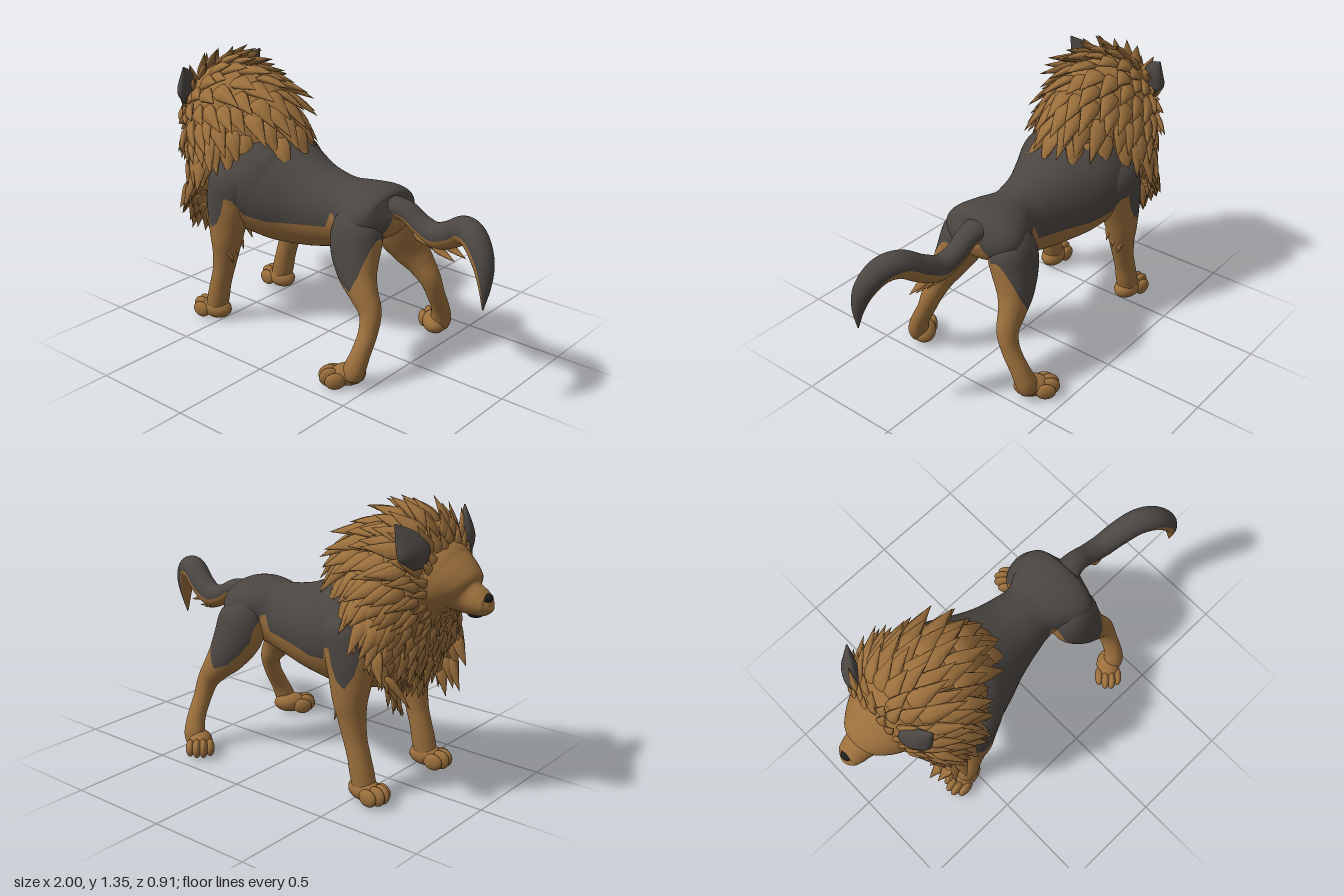
import * as THREE from 'three';
import { mergeGeometries } from 'three/addons/utils/BufferGeometryUtils.js';

const V = (x, y, z) => new THREE.Vector3(x, y, z);
const mat = (name, color) => new THREE.MeshStandardMaterial({ name, color });

// Skin over elliptical sections [x, y, z, radius in the xy plane, radius across].
// isDark(point, cosAngle) sends faces to the second material group, split cleanly along the border.
function loft(sections, steps, sides, isDark = () => false) {
  const path = new THREE.CatmullRomCurve3(sections.map(s => V(s[0], s[1], s[2])), false, 'catmullrom');
  const radii = new THREE.CatmullRomCurve3(sections.map(s => V(s[3], s[4], 0)), false, 'catmullrom');
  const pts = [], cosines = [], light = [], dark = [], cuts = new Map();
  for (let i = 0; i <= steps; i++) {
    const c = path.getPoint(i / steps), r = radii.getPoint(i / steps), T = path.getTangent(i / steps);
    const S = V(0, 0, 1).addScaledVector(T, -T.z).normalize(), U = S.clone().cross(T);
    for (let j = 0; j < sides; j++) {
      const a = j / sides * Math.PI * 2;
      cosines.push(Math.cos(a));
      pts.push(c.clone().addScaledVector(U, Math.max(r.x, 0) * Math.cos(a)).addScaledVector(S, Math.max(r.y, 0) * Math.sin(a)));
    }
  }
  const first = pts.push(path.getPoint(0)) - 1, last = pts.push(path.getPoint(1)) - 1;
  cosines.push(0, 0);
  const flag = pts.map((p, i) => isDark(p, cosines[i]));
  const cut = (m, n) => {
    const a = Math.min(m, n), b = Math.max(m, n), key = a + '_' + b;
    if (!cuts.has(key)) {
      let lo = 0, hi = 1;
      for (let i = 0; i < 8; i++) {
        const t = (lo + hi) / 2, same = isDark(pts[a].clone().lerp(pts[b], t), cosines[a] + (cosines[b] - cosines[a]) * t) === flag[a];
        if (same) lo = t; else hi = t;
      }
      cuts.set(key, pts.push(pts[a].clone().lerp(pts[b], lo)) - 1);
    }
    return cuts.get(key);
  };
  const face = (a, b, c) => {
    if (flag[a] === flag[b] && flag[b] === flag[c]) return (flag[a] ? dark : light).push(a, b, c);
    while (flag[a] === flag[b] || flag[a] === flag[c]) [a, b, c] = [b, c, a];
    const ab = cut(a, b), ac = cut(a, c);
    (flag[a] ? dark : light).push(a, ab, ac);
    return (flag[a] ? light : dark).push(ab, b, c, ab, c, ac);
  };
  for (let j = 0; j < sides; j++) {
    const k = (j + 1) % sides, e = steps * sides;
    for (let i = 0; i < steps; i++) {
      const o = i * sides, n = o + sides;
      face(o + j, o + k, n + j);
      face(o + k, n + k, n + j);
    }
    face(first, k, j);
    face(last, e + j, e + k);
  }
  const g = new THREE.BufferGeometry().setFromPoints(pts);
  g.setIndex([...light, ...dark]);
  if (dark.length) {
    g.addGroup(0, light.length, 0);
    g.addGroup(light.length, dark.length, 1);
  }
  g.computeVertexNormals();
  return g;
}

// Lower border of the dark saddle, as x, y points
const BORDER = [[-0.7, 0.76], [-0.55, 0.73], [-0.52, 0.6], [-0.48, 0.53], [-0.44, 0.56], [-0.41, 0.62], [-0.39, 0.7],
  [-0.35, 0.69], [-0.32, 0.62], [-0.2, 0.6], [0, 0.62], [0.1, 0.63], [0.13, 0.71], [0.155, 0.7], [0.18, 0.57],
  [0.22, 0.51], [0.28, 0.45], [0.35, 0.42], [0.385, 0.5], [0.41, 0.65], [0.45, 0.76]];
function saddle(p) {
  let i = 1;
  while (i < BORDER.length - 1 && BORDER[i][0] < p.x) i++;
  const [x0, y0] = BORDER[i - 1], [x1, y1] = BORDER[i];
  if (p.y < y0 + (y1 - y0) * (p.x - x0) / (x1 - x0)) return false;
  const z = Math.abs(p.z);
  if (p.x > 0.18 && p.y < 0.74) return z > 0.05 + (0.74 - p.y) * 0.6;
  return p.x > -0.34 || p.y > 0.62 || z > 0.22;
}

// Mane surface: t runs from the face to the rear edge, a runs round from the top.
// The third number of the top curve is the half width.
const curve = list => new THREE.CatmullRomCurve3(list.map(p => V(...p)), false, 'catmullrom');
const maneTop = curve([[-0.82, 1.12, 0.15], [-0.745, 1.235, 0.21], [-0.6, 1.265, 0.255], [-0.41, 1.21, 0.28], [-0.26, 1.09, 0.295], [-0.18, 0.96, 0.295]]);
const maneLow = curve([[-0.79, 0.87, 0], [-0.73, 0.77, 0], [-0.685, 0.67, 0], [-0.64, 0.59, 0], [-0.595, 0.53, 0], [-0.56, 0.48, 0]]);
function manePoint(t, a) {
  const A = maneTop.getPoint(t), B = maneLow.getPoint(t), s = Math.sin(a), c = Math.cos(a);
  return V((A.x + B.x) / 2 + (A.x - B.x) / 2 * c - 0.25 * t * t * Math.abs(s) ** 1.4,
    (A.y + B.y) / 2 + (A.y - B.y) / 2 * c, A.z * s * (1 - 0.08 * c));
}

// One pointed lock of hair along +x, unit long, raised towards +y
const lock = loft([[0, -0.08, 0, 0.06, 0.36], [0.25, 0.02, 0, 0.13, 0.48], [0.6, 0.06, 0, 0.09, 0.27], [1, 0.07, 0, 0.003, 0.006]], 6, 6);
function placeLock(root, dir, out, length, width) {
  const x = dir.clone().normalize(), z = x.clone().cross(out).normalize(), y = z.clone().cross(x);
  const m = new THREE.Matrix4().makeBasis(x.multiplyScalar(length), y.multiplyScalar(length * 0.8), z.multiplyScalar(width)).setPosition(root);
  return lock.clone().applyMatrix4(m);
}

export function createModel() {
  const model = new THREE.Group();
  const tan = mat('tan fur', 0x9b6f3c), dark = mat('charcoal fur', 0x4b4642), black = mat('black skin', 0x1e1c1c);
  const coat = [tan, dark];
  const add = (name, geo, material, parent = model) => {
    const m = new THREE.Mesh(geo, material);
    m.name = name;
    parent.add(m);
    return m;
  };
  const ball = (name, material, pos, size, parent) => {
    const m = add(name, new THREE.SphereGeometry(1, 16, 12), material, parent);
    m.position.set(...pos);
    m.scale.set(...size);
  };

  // Trunk
  add('body', loft([[-0.68, 0.72, 0, 0.08, 0.08], [-0.62, 0.72, 0, 0.18, 0.17], [-0.5, 0.72, 0, 0.255, 0.265],
    [-0.38, 0.72, 0, 0.275, 0.3], [-0.25, 0.685, 0, 0.255, 0.26], [-0.1, 0.665, 0, 0.22, 0.2], [0.03, 0.665, 0, 0.187, 0.165],
    [0.14, 0.675, 0, 0.165, 0.15], [0.24, 0.7, 0, 0.143, 0.195], [0.32, 0.715, 0, 0.125, 0.21], [0.38, 0.715, 0, 0.095, 0.165],
    [0.42, 0.72, 0, 0.03, 0.06]], 120, 80, saddle), coat);
  ball('bellyFold', tan, [0.09, 0.525, 0], [0.07, 0.04, 0.035]);

  // Head and muzzle
  add('head', loft([[-0.6, 1.02, 0, 0.12, 0.14], [-0.72, 1.02, 0, 0.17, 0.185], [-0.8, 1, 0, 0.143, 0.165], [-0.85, 0.982, 0, 0.114, 0.13],
    [-0.89, 0.957, 0, 0.077, 0.082], [-0.95, 0.94, 0, 0.058, 0.064], [-0.982, 0.938, 0, 0.043, 0.049],
    [-0.993, 0.942, 0, 0.015, 0.018]], 48, 40), tan);
  ball('nose', black, [-0.98, 0.965, 0], [0.02, 0.019, 0.027]);
  ball('lowerLip', black, [-0.925, 0.888, 0], [0.035, 0.016, 0.038]);

  // Tail with hanging hair
  add('tail', loft([[0.36, 0.76, 0, 0.05, 0.07], [0.45, 0.75, -0.01, 0.047, 0.055], [0.53, 0.705, -0.01, 0.05, 0.052], [0.62, 0.682, 0, 0.06, 0.055],
    [0.71, 0.718, 0.02, 0.062, 0.06], [0.8, 0.772, 0.055, 0.062, 0.062], [0.88, 0.762, 0.095, 0.058, 0.06], [0.945, 0.69, 0.13, 0.048, 0.05],
    [0.972, 0.6, 0.15, 0.028, 0.032], [0.975, 0.49, 0.16, 0.003, 0.003]], 80, 40, (p, cos) => cos > -0.15), coat);
  const hang = [[0.47, 0.7, -0.02], [0.52, 0.67, 0.02], [0.57, 0.645, 0], [0.62, 0.64, 0.02], [0.67, 0.665, 0.01]];
  add('tailHair', mergeGeometries(hang.map(p => placeLock(V(...p), V(1, -0.28, 0.08), V(0, -1, 0), 0.13, 0.06))), tan);

  // Mane: a smooth underlayer covered with overlapping locks
  const rows = 24, cols = 48, pos = [], idx = [];
  for (let i = 0; i <= rows; i++) for (let j = 0; j < cols; j++) {
    pos.push(manePoint(i / rows, j / cols * Math.PI * 2));
    const k = (j + 1) % cols, o = i * cols;
    if (i < rows) idx.push(o + j, o + k, o + cols + j, o + k, o + cols + k, o + cols + j);
  }
  const under = new THREE.BufferGeometry().setFromPoints(pos);
  under.setIndex(idx);
  under.computeVertexNormals();
  const underFur = tan.clone();
  underFur.name = 'tan underfur';
  underFur.side = THREE.DoubleSide;
  add('maneUnderlayer', under, underFur);
  const locks = [], ROWS = 11, COLS = 22;
  let seed = 7;
  const rand = () => (seed = seed * 16807 % 2147483647) / 2147483647;
  for (let i = 0; i < ROWS; i++) for (let j = 0; j < COLS; j++) {
    const a = (j + (i % 2) / 2 + (rand() - 0.5) * 0.4) / COLS * Math.PI * 2;
    const t = Math.min(0.97, 0.02 + i / ROWS * 0.97 + rand() * 0.06), e = 0.02;
    const p = manePoint(t, a);
    const dir = manePoint(Math.min(t + e, 1), a).sub(manePoint(t - e, a)).normalize();
    const out = manePoint(t, a + e).sub(manePoint(t, a - e)).cross(dir).normalize();
    const top = 0.5 + 0.5 * Math.cos(a), grow = Math.min(1, 0.45 + t * 1.6);
    dir.addScaledVector(out, 0.06 + rand() * (0.18 + 0.12 * top)).y -= 0.1 * t;
    locks.push(placeLock(p, dir, out, (0.11 + 0.06 * top + rand() * 0.06) * grow, (0.06 + 0.045 * top) * grow));
  }
  add('maneLocks', mergeGeometries(locks), tan);

  // Paw pointing to -x, with four toes
  const paw = (name, parent, x, z, turn) => {
    const g = new THREE.Group();
    g.name = name;
    g.position.set(x, 0, z);
    g.rotation.y = turn;
    parent.add(g);
    ball('pawPad', tan, [0.012, 0.052, 0], [0.085, 0.052, 0.06], g);
    [-1.5, -0.5, 0.5, 1.5].forEach(k => {
      const inner = Math.abs(k) < 1 ? 1 : 0;
      ball('toe', tan, [-0.05 - 0.022 * inner, 0.042 + 0.006 * inner, k * 0.032], [0.048, 0.04 + 0.006 * inner, 0.022], g);
    });
  };

  // Everything that comes in a left and right pair
  for (const side of [1, -1]) {
    const half = new THREE.Group();
    half.name = side > 0 ? 'leftHalf' : 'rightHalf';
    half.scale.z = side;
    model.add(half);
    add('frontLeg', loft([[-0.41, 0.87, 0.17, 0.06, 0.05], [-0.42, 0.77, 0.205, 0.135, 0.11], [-0.44, 0.66, 0.225, 0.125, 0.1],
      [-0.45, 0.56, 0.235, 0.105, 0.088], [-0.455, 0.46, 0.243, 0.083, 0.075], [-0.465, 0.38, 0.243, 0.068, 0.062],
      [-0.485, 0.28, 0.243, 0.056, 0.052], [-0.508, 0.2, 0.243, 0.053, 0.052], [-0.525, 0.13, 0.243, 0.056, 0.054],
      [-0.545, 0.05, 0.243, 0.055, 0.052]], 80, 40, saddle), coat, half);
    paw('frontPaw', half, -0.555, 0.245, 0.1);
    add('elbowHair', mergeGeometries([0.5, 0.47, 0.44].map((y, i) =>
      placeLock(V(-0.41 - i * 0.008, y, 0.24 + (i - 1) * 0.03), V(0.35, -1, 0), V(1, 0.3, 0), 0.1, 0.05))), tan, half);
    add('hindLeg', loft([[0.285, 0.77, 0.09, 0.02, 0.02], [0.28, 0.725, 0.11, 0.088, 0.08], [0.28, 0.66, 0.135, 0.125, 0.105], [0.295, 0.57, 0.163, 0.125, 0.1],
      [0.335, 0.48, 0.197, 0.1, 0.08], [0.385, 0.41, 0.218, 0.073, 0.062], [0.435, 0.335, 0.232, 0.054, 0.05], [0.449, 0.25, 0.262, 0.045, 0.043],
      [0.446, 0.16, 0.31, 0.045, 0.044], [0.434, 0.09, 0.338, 0.052, 0.048], [0.424, 0.045, 0.345, 0.045, 0.045]], 80, 40, saddle), coat, half);
    paw('hindPaw', half, 0.387, 0.348, 0.8);

    // Face details and ear
    ball('brow', tan, [-0.85, 1.055, 0.065], [0.03, 0.018, 0.042], half);
    ball('eye', black, [-0.869, 1.03, 0.084], [0.012, 0.009, 0.017], half);
    const ear = add('ear', loft([[0, 0, 0, 0.025, 0.04], [0, 0.06, 0.015, 0.035, 0.075], [0.01, 0.115, 0.045, 0.028, 0.058],
      [0.02, 0.185, 0.095, 0.003, 0.003]], 20, 24), dark, half);
    ear.position.set(-0.75, 1.095, 0.19);
    ear.rotation.y = 0.5;
  }
  return model;
}
